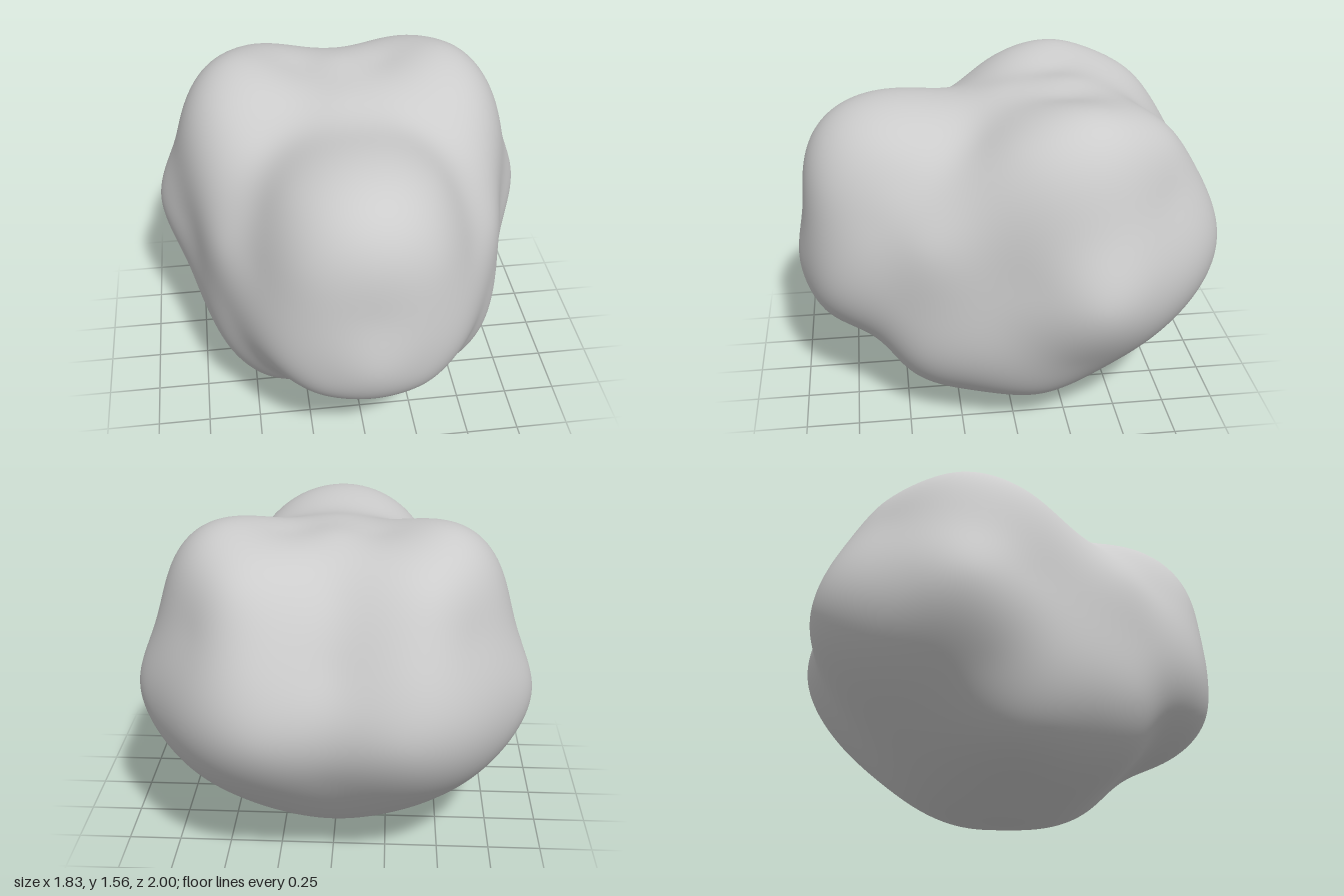
import * as THREE from 'three';
import { mergeVertices } from 'three/addons/utils/BufferGeometryUtils.js';

const CENTRE = new THREE.Vector3(0, 0.8, 0);

// Centre-line outline (z, y), from the underside round the back and over the top
const outline = [
  [0, 0], [-0.4, 0.08], [-0.68, 0.3], [-0.9, 0.59], [-0.97, 0.8], [-0.87, 1.1],
  [-0.67, 1.38], [-0.33, 1.53], [0, 1.505], [0.3, 1.47], [0.58, 1.48], [0.8, 1.4],
  [0.93, 1.2], [0.96, 0.95], [1.0, 0.68], [0.9, 0.45], [0.63, 0.31], [0.4, 0.13],
];

// Lobes and hollows on one side (x, y, z); mirrored to the other
const backLobe = [
  [0.3, 0.8, -1], [0.3, 0.57, -0.9], [0.35, 1.1, -0.92], [0.64, 0.8, -0.82],
  [0.8, 0.8, -0.61], [0.6, 1.2, -0.69], [0.92, 0.8, -0.33], [0.83, 1.08, -0.34],
];
const topLobe = [
  [0.42, 1.4, -0.72], [0.49, 1.56, -0.33], [0.62, 1.51, -0.25], [0.72, 1.39, -0.35],
  [0.22, 1.515, -0.3], [0.57, 1.43, 0.02], [0.71, 1.2, 0.07],
];
const hollow = [
  [0.39, 1.4, 0.14], [0.44, 1.24, 0.48], [0.48, 1.05, 0.62], [0.63, 1, 0.42], [0.82, 0.87, -0.08],
];
const frontLobe = [
  [0.33, 1.36, 0.55], [0.3, 1.15, 0.84], [0.2, 0.66, 0.95], [0.4, 0.66, 0.83],
  [0.61, 0.7, 0.5], [0.77, 0.65, 0.07], [0.26, 0.48, 0.86],
];
const underside = [
  [0.78, 0.45, -0.25], [0.64, 0.2, -0.1], [0.35, 0.07, 0], [0.5, 0.3, -0.53],
  [0.6, 0.25, 0.25], [0.43, 0.25, 0.5], [0.61, 0.42, 0.45], [0.3, 0.38, 0.66], [0.49, 0.5, 0.62],
];

// Gaussian elimination with pivoting
function solve(A, b) {
  const n = b.length;
  const M = A.map((row, i) => [...row, b[i]]);
  for (let c = 0; c < n; c++) {
    let p = c;
    for (let r = c + 1; r < n; r++) if (Math.abs(M[r][c]) > Math.abs(M[p][c])) p = r;
    [M[c], M[p]] = [M[p], M[c]];
    for (let r = c + 1; r < n; r++) {
      const f = M[r][c] / M[c][c];
      for (let k = c; k <= n; k++) M[r][k] -= f * M[c][k];
    }
  }
  const x = new Array(n).fill(0);
  for (let r = n - 1; r >= 0; r--) {
    let s = M[r][n];
    for (let k = r + 1; k < n; k++) s -= M[r][k] * x[k];
    x[r] = s / M[r][r];
  }
  return x;
}

// Smooth mirrored radius over all directions, passing close to the guide points
function makeRadius(points) {
  const base = 0.88;
  const radii = points.map((p) => p.length());
  const dirs = points.map((p) => p.clone().normalize());
  const mirrored = dirs.map((d) => new THREE.Vector3(-d.x, d.y, d.z));
  const kernel = (v, j) => v.distanceTo(dirs[j]) ** 3 + v.distanceTo(mirrored[j]) ** 3;
  const A = dirs.map((d, i) => dirs.map((_, j) => kernel(d, j) + (i === j ? 0.0008 : 0)));
  const weights = solve(A, radii.map((r) => r - base));
  return (v) => weights.reduce((sum, w, j) => sum + w * kernel(v, j), base);
}

export function createModel() {
  const points = [
    ...outline.map(([z, y]) => [0, y, z]),
    ...backLobe, ...topLobe, ...hollow, ...frontLobe, ...underside,
  ].map((p) => new THREE.Vector3(...p).sub(CENTRE));
  const radius = makeRadius(points);

  // Even sphere with shared vertices, pushed out along each direction
  let geometry = new THREE.IcosahedronGeometry(1, 40);
  geometry.deleteAttribute('uv');
  geometry.deleteAttribute('normal');
  geometry = mergeVertices(geometry, 1e-5);
  const position = geometry.attributes.position;
  const v = new THREE.Vector3();
  for (let i = 0; i < position.count; i++) {
    v.fromBufferAttribute(position, i).normalize();
    v.multiplyScalar(radius(v)).add(CENTRE);
    position.setXYZ(i, v.x, v.y, v.z);
  }
  geometry.computeVertexNormals();

  // Rest the underside on the ground
  geometry.computeBoundingBox();
  geometry.translate(0, -geometry.boundingBox.min.y, 0);

  const body = new THREE.Mesh(geometry, new THREE.MeshStandardMaterial({ color: 0xcccccc }));
  body.name = 'lumpyBody';
  const group = new THREE.Group();
  group.name = 'lumpyBlob';
  group.add(body);
  return group;
}
